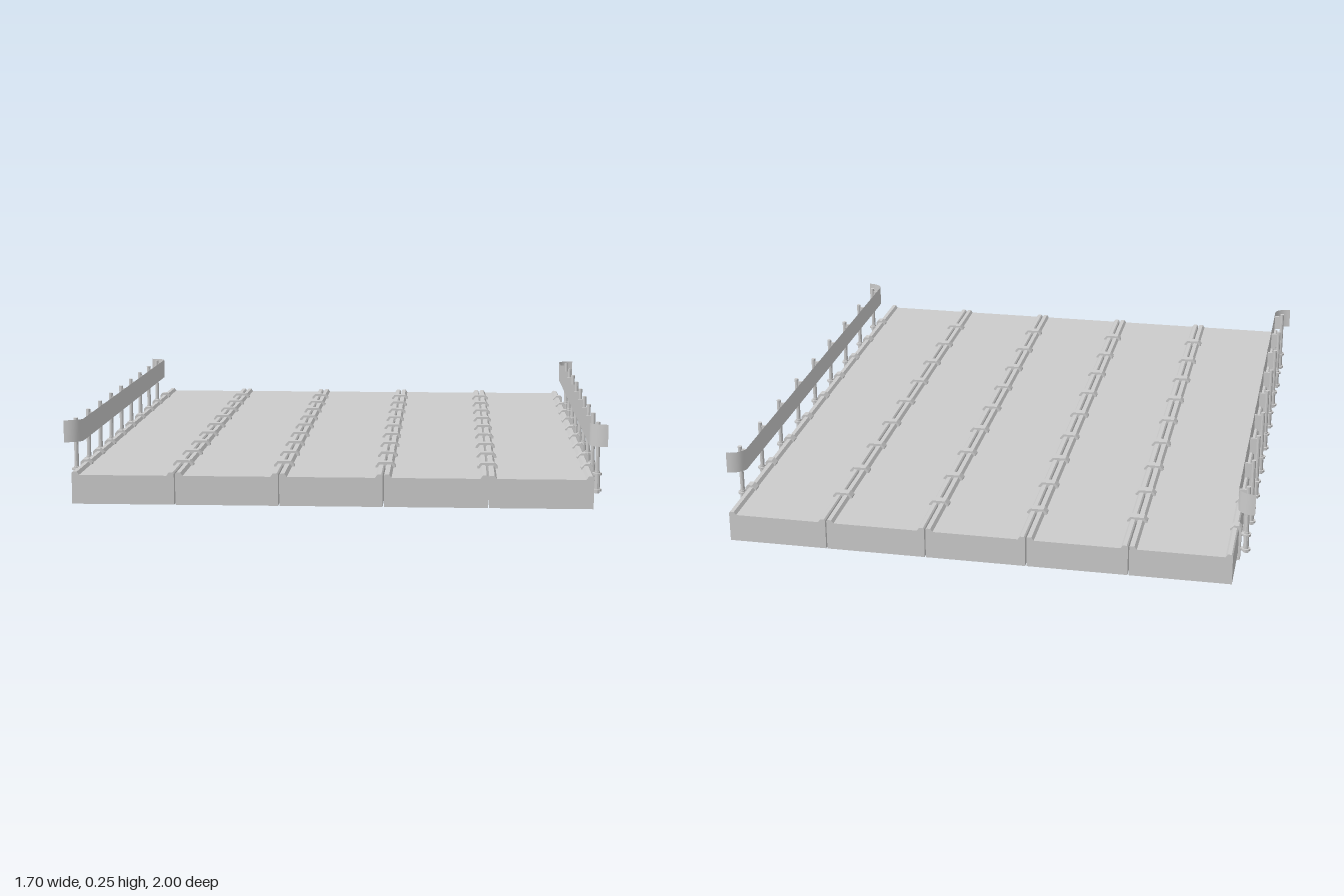
import * as THREE from 'three';

const grey = new THREE.MeshStandardMaterial({ color: 0xcccccc, flatShading: true });
const smooth = new THREE.MeshStandardMaterial({ color: 0xcccccc, side: THREE.DoubleSide });
const PANELS = 5, WIDTH = 0.32;
const POST_Z = Array.from({ length: 9 }, (_, i) => -0.8 + i * 0.2);

function add(parent, name, geometry, x = 0, y = 0, z = 0, material = grey) {
  const mesh = new THREE.Mesh(geometry, material);
  mesh.name = name;
  mesh.position.set(x, y, z);
  parent.add(mesh);
  return mesh;
}

// Extrudes an x-y outline along z, centred on z = 0
function extrude(points, depth) {
  const shape = new THREE.Shape(points.map(([x, y]) => new THREE.Vector2(x, y)));
  const g = new THREE.ExtrudeGeometry(shape, { depth, bevelEnabled: false });
  return g.translate(0, 0, -depth / 2);
}

// Thin guard sheet whose two ends curl outward
function railGeometry() {
  const path = [];
  const steps = 8, flat = 0.795, curl = 0.055, reach = 0.042, zEnd = 0.858;
  for (let i = 0; i <= steps; i++) {
    const a = (i / steps) * Math.PI / 2;
    path.push([flat + curl * (1 - Math.sin(a)), zEnd - reach * (1 - Math.cos(a))]);
  }
  const pts = [...path, ...path.slice().reverse().map(([x, z]) => [x, -z])];
  const pos = [], idx = [];
  pts.forEach(([x, z], i) => {
    pos.push(x, 0.18, z, x, 0.25, z);
    if (i) {
      const k = 2 * i;
      idx.push(k - 2, k, k - 1, k, k + 1, k - 1);
    }
  });
  const g = new THREE.BufferGeometry();
  g.setAttribute('position', new THREE.Float32BufferAttribute(pos, 3));
  g.setIndex(idx);
  g.computeVertexNormals();
  return g;
}

// One side of the deck: edge clips, posts and guard rail, built on +x
function buildSide(name) {
  const side = new THREE.Group();
  side.name = name;
  const clip = extrude([
    [0.765, 0], [0.806, 0], [0.808, 0.11], [0.80, 0.119], [0.785, 0.119], [0.772, 0.107],
    [0.772, 0.10], [0.80, 0.10], [0.80, 0.012], [0.765, 0.012]
  ], 0.028);
  const post = new THREE.CylinderGeometry(0.007, 0.007, 0.226, 10);
  const sleeve = new THREE.CylinderGeometry(0.009, 0.009, 0.07, 10);
  const collar = new THREE.CylinderGeometry(0.015, 0.015, 0.007, 10);
  const arm = new THREE.BoxGeometry(0.024, 0.007, 0.016);
  const tab = new THREE.BoxGeometry(0.028, 0.05, 0.008);
  for (const z of POST_Z) {
    add(side, 'edgeClip', clip, 0, 0, z);
    add(side, 'post', post, 0.823, 0.137, z);
    add(side, 'postSleeve', sleeve, 0.823, 0.06, z);
    add(side, 'railTab', tab, 0.81, 0.215, z);
    for (const y of [0.035, 0.086]) {
      add(side, 'postCollar', collar, 0.823, y, z);
      add(side, 'postArm', arm, 0.813, y, z);
    }
  }
  add(side, 'guardRail', railGeometry(), 0, 0, 0, smooth);
  return side;
}

export function createModel() {
  const model = new THREE.Group();
  model.name = 'deckSection';

  // Deck panels with a raised lip along both long edges
  const h = WIDTH / 2 - 0.002;
  const panel = extrude([
    [-h, 0.012], [h, 0.012], [h, 0.108], [h - 0.004, 0.112], [h - 0.016, 0.112],
    [h - 0.023, 0.102], [-h + 0.023, 0.102], [-h + 0.016, 0.112], [-h + 0.004, 0.112], [-h, 0.108]
  ], 2);
  for (let i = 0; i < PANELS; i++) add(model, 'panel', panel, (i - 2) * WIDTH);

  // Clips bridging the seams
  const seamClip = extrude([
    [-0.032, 0.10], [0.032, 0.10], [0.032, 0.107], [0.021, 0.119], [-0.021, 0.119], [-0.032, 0.107]
  ], 0.028);
  for (let i = 1; i < PANELS; i++) {
    for (const z of POST_Z) add(model, 'seamClip', seamClip, (i - PANELS / 2) * WIDTH, 0, z);
  }

  // Two matching sides
  const left = buildSide('leftSide');
  const right = buildSide('rightSide');
  right.rotation.y = Math.PI;
  model.add(left, right);
  return model;
}
